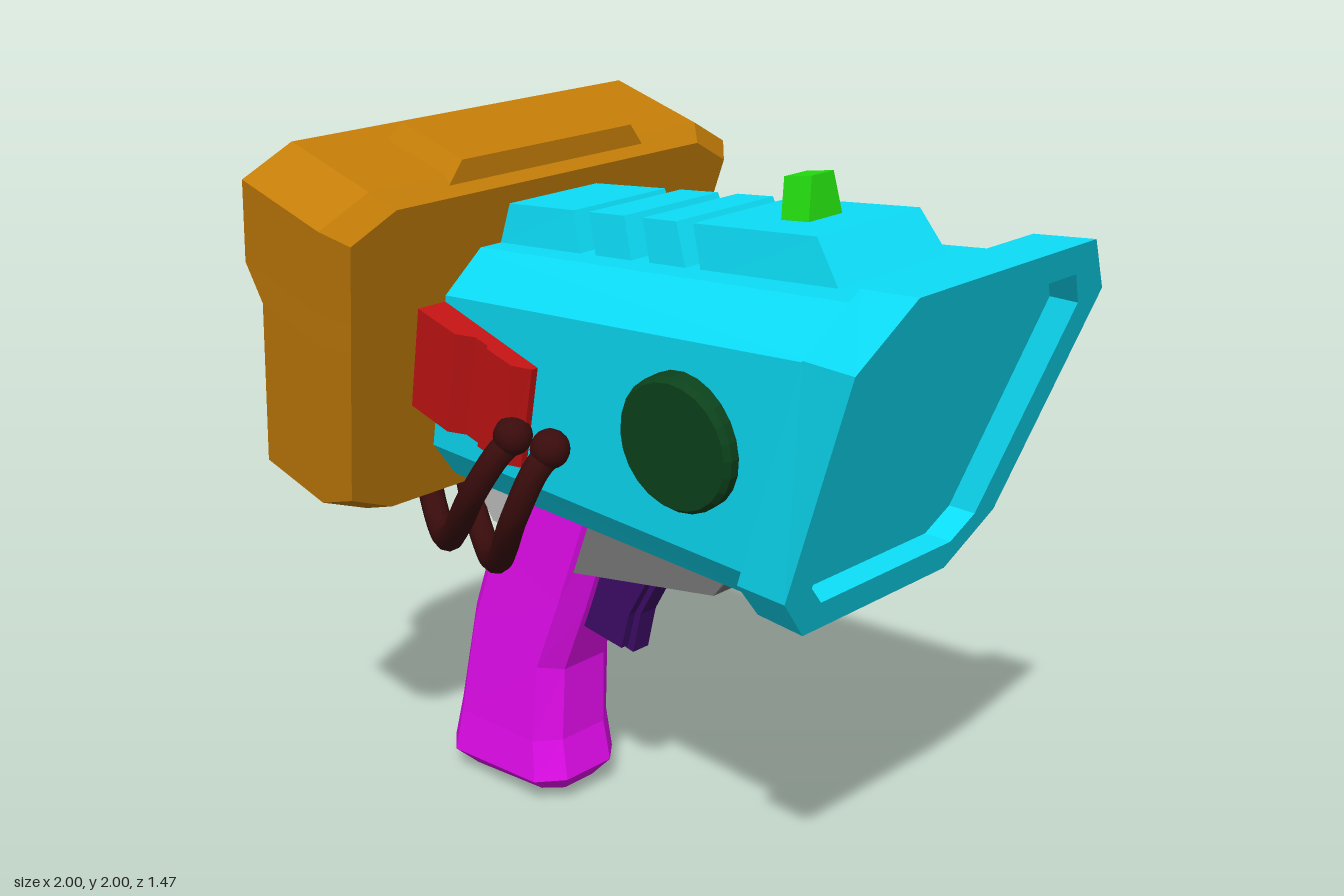
import * as THREE from 'three';

const V = (x, y, z) => new THREE.Vector3(x, y, z);

// Area normal of a closed loop of points
function loopNormal(ring) {
  const n = V(0, 0, 0);
  ring.forEach((p, i) => n.add(p.clone().cross(ring[(i + 1) % ring.length])));
  return n;
}

function centre(ring) {
  return ring.reduce((s, p) => s.add(p), V(0, 0, 0)).divideScalar(ring.length);
}

// Flat-faced skin over a series of equal-length loops, capped at both ends
function loft(rings) {
  const ahead = centre(rings[1]).sub(centre(rings[0]));
  if (loopNormal(rings[0]).dot(ahead) < 0) rings = rings.map(r => [...r].reverse());
  const pts = [];
  for (let i = 0; i + 1 < rings.length; i++) {
    const a = rings[i], b = rings[i + 1];
    a.forEach((p, j) => {
      const k = (j + 1) % a.length;
      pts.push(p, a[k], b[k], p, b[k], b[j]);
    });
  }
  const cap = (ring, sign) => {
    const n = loopNormal(ring).multiplyScalar(sign);
    const ax = Math.abs(n.x), ay = Math.abs(n.y), az = Math.abs(n.z);
    const flat = ring.map(p => az >= ax && az >= ay ? new THREE.Vector2(p.x, p.y)
      : ax >= ay ? new THREE.Vector2(p.y, p.z) : new THREE.Vector2(p.z, p.x));
    for (const f of THREE.ShapeUtils.triangulateShape(flat, [])) {
      const [a, b, c] = f.map(i => ring[i]);
      const facing = b.clone().sub(a).cross(c.clone().sub(a)).dot(n);
      pts.push(...(facing > 0 ? [a, b, c] : [a, c, b]));
    }
  };
  cap(rings[0], -1);
  cap(rings[rings.length - 1], 1);
  const g = new THREE.BufferGeometry().setFromPoints(pts);
  g.computeVertexNormals();
  return g;
}

// Side profile of [x, y, halfWidth] points spread symmetrically in z
const slab = (profile, half) => loft([-1, 1].map(s =>
  profile.map(([x, y, h = half]) => V(x, y, s * h))));

// Side profile between two z positions
const plate = (profile, z0, z1) => loft([z0, z1].map(z => profile.map(([x, y]) => V(x, y, z))));

// Symmetric loop from its +z half: [y, z] pairs, with x following y
const mirrorRing = (half, xOf) => [
  ...half.map(([y, z]) => V(xOf(y), y, z)),
  ...[...half].reverse().map(([y, z]) => V(xOf(y), y, -z))];

// Tilted frame of the rear housing: u runs up it, v runs forward through it
const tilt = (u, v, z) => V(0.26 * u + 0.966 * v, 0.966 * u - 0.26 * v, z);

export function createModel() {
  const group = new THREE.Group();
  const paint = (color, flatShading = true) => new THREE.MeshStandardMaterial({ color, flatShading });
  const cyan = paint(0x0ce0fa), orange = paint(0xc47d08), red = paint(0xc41414);
  const magenta = paint(0xe60cf0), grey = paint(0x777777), paleGrey = paint(0xbbbbbb);
  const purple = paint(0x3e0c68), brown = paint(0x3a0c0c, false);
  const add = (name, geometry, material) => {
    const m = new THREE.Mesh(geometry, material);
    m.name = name;
    group.add(m);
    return m;
  };

  // Main barrel, widening forward
  const nozzleBack = y => 0.51 + 0.365 * (y - 0.97);
  const nozzleFront = y => 0.66 + 0.374 * (y - 0.96);
  add('barrel', loft([
    mirrorRing([[1.0, 0.2], [1.12, 0.3], [1.57, 0.335], [1.685, 0.235]], y => (-1.0 + 0.26 * y) / 0.966),
    mirrorRing([[1.0, 0.26], [1.115, 0.365], [1.7, 0.415], [1.82, 0.305]], y => nozzleBack(y) + 0.02),
  ]), cyan);

  // Slanted nozzle collar with a recessed face
  const mouth = [[1.05, 0.255], [1.115, 0.32], [1.7, 0.38], [1.79, 0.31]];
  add('nozzle', loft([
    mirrorRing([[0.965, 0.27], [1.1, 0.402], [1.715, 0.45], [1.86, 0.325]], nozzleBack),
    mirrorRing([[0.96, 0.28], [1.1, 0.41], [1.72, 0.47], [1.875, 0.335]], nozzleFront),
    mirrorRing(mouth, nozzleFront),
    mirrorRing(mouth, y => nozzleFront(y) - 0.08),
  ]), cyan);

  // Raised blocks along the top, separated by narrow slots that all lean back
  const deck = x => 1.735 + 0.1 * x;
  const deckHalf = x => 0.183 + 0.03 * x;
  [[-0.62, -0.22, 0.043], [-0.165, -0.035, 0.048], [0.03, 0.148, 0.055], [0.205, 0.6, 0.1]].forEach(([a, b, slope], i) => {
    add('topBlock' + (i + 1), slab([
      [a + 0.045, deck(a) - 0.02, deckHalf(a) + 0.005], [b + slope, deck(b) - 0.02, deckHalf(b) + 0.008],
      [b, deck(b) + 0.113, deckHalf(b) - 0.01], [a, deck(a) + 0.113, deckHalf(a) - 0.01]]), cyan);
  });
  add('sight', slab([[0.385, 1.87, 0.067], [0.47, 1.87, 0.067], [0.455, 2.0, 0.04], [0.37, 1.985, 0.04]]), paint(0x25df10));

  // Rear housing with bevelled front, notched rim and recessed screen
  const outline = [[0.715, 0.46], [0.785, 0.62], [1.29, 0.69], [1.38, 0.702], [1.62, 0.735], [1.7, 0.59]];
  const housingRing = (insetU, insetZ, vOf) => {
    const side = s => outline.map(([u, z], i) =>
      tilt(1.22 + (u - 1.22) * (1 - insetU / 0.49), vOf(i), s * z * (1 - insetZ / 0.7)));
    return [...side(1), ...side(-1).reverse()];
  };
  const rim = i => (i < 3 ? -1.229 : -1.3);
  add('rearHousing', loft([
    housingRing(0.03, 0.052, () => -0.923), housingRing(0, 0, () => -0.985), housingRing(0, 0, rim),
    housingRing(0.085, 0.085, rim), housingRing(0.115, 0.115, () => -1.19),
  ]), orange);
  const lid = (u, v0, v1, z) => [tilt(u, v0, z), tilt(u, v1, z), tilt(u, v1, -z), tilt(u, v0, -z)];
  add('housingTopPad', loft([lid(1.68, -1.225, -0.955, 0.355), lid(1.745, -1.21, -0.97, 0.305)]), orange);

  // Knob on the housing's right side
  const knob = add('knob', new THREE.CylinderGeometry(0.08, 0.085, 0.12, 16), paint(0xdbd00c));
  knob.position.set(-0.83, 1.16, -0.628);
  knob.rotation.x = -Math.PI / 2 - 0.1;

  // Stepped blocks on both sides of the barrel, leaning in towards the bottom
  const step = [[-1, 0.27], [-1, 0.43], [-0.775, 0.43], [-0.738, 0.392], [-0.69, 0.392],
    [-0.68, 0.405], [-0.585, 0.405], [-0.545, 0.37], [-0.545, 0.27]];
  for (const s of [1, -1]) {
    add(s > 0 ? 'leftSideBlock' : 'rightSideBlock', loft([[1.065, 0.94], [1.366, 1]].map(([u, k]) =>
      step.map(([v, z]) => tilt(u, v, s * k * z)))), red);
  }

  // Round port on the left side
  const port = add('sidePort', new THREE.LatheGeometry(
    [[0.172, -0.08], [0.172, 0.035], [0.16, 0.05], [0, 0.05]].map(p => new THREE.Vector2(...p)), 24), paint(0x0c421c));
  port.position.set(0.37, 1.41, 0.382);
  port.rotation.set(Math.PI / 2 + 0.06, 0, -0.05);

  // Two hoses from the barrel side round to the bottom of the housing
  [
    [[-0.24, 1.27, 0.35], [-0.26, 1.23, 0.405], [-0.34, 1.1, 0.436], [-0.48, 0.945, 0.38], [-0.65, 0.84, 0.28], [-0.79, 0.87, 0.2], [-0.85, 1.0, 0.18]],
    [[-0.1, 1.27, 0.35], [-0.115, 1.23, 0.405], [-0.18, 1.08, 0.436], [-0.32, 0.91, 0.36], [-0.48, 0.81, 0.25], [-0.63, 0.782, 0.15], [-0.77, 0.84, 0.07], [-0.84, 1.0, 0.05]],
  ].forEach((path, i) => {
    const curve = new THREE.CatmullRomCurve3(path.map(p => V(...p)));
    add('hose' + (i + 1), new THREE.TubeGeometry(curve, 40, 0.037, 10), brown);
    add('hoseJoint' + (i + 1), new THREE.SphereGeometry(0.052, 14, 10), brown).position.set(path[0][0], 1.27, 0.38);
  });

  // Grip: octagonal sections [backX, backY, frontX, frontY, halfWidth], top to bottom
  const gripRing = ([bx, by, fx, fy, h]) => {
    const at = (t, z) => V(bx + (fx - bx) * t, by + (fy - by) * t, z);
    const side = [[0, 0.55], [0.17, 1], [0.87, 1], [1, 0.55]];
    return [...side.map(([t, k]) => at(t, k * h)), ...[...side].reverse().map(([t, k]) => at(t, -k * h))];
  };
  add('grip', loft([
    [-0.52, 1.06, -0.15, 1.06, 0.138], [-0.66, 0.82, -0.3, 0.66, 0.138], [-0.765, 0.53, -0.39, 0.44, 0.142],
    [-0.84, 0.2, -0.4, 0.21, 0.15], [-0.875, 0.06, -0.38, 0.085, 0.16], [-0.83, 0, -0.425, 0.03, 0.1],
    [-0.79, 0.003, -0.47, 0.027, 0.075], [-0.79, 0.02, -0.47, 0.042, 0.07],
  ].map(gripRing)), magenta);
  const button = add('gripButton', new THREE.CylinderGeometry(0.068, 0.085, 0.06, 16), paint(0x3412c4));
  button.position.set(-0.63, 0.262, -0.138);
  button.rotation.x = -Math.PI / 2;

  // Trigger housing: bridge, two cheeks and a rear wedge
  add('triggerBridge', slab([[-0.3, 1.03], [0.33, 1.03], [0.325, 1.0], [0.23, 0.88], [-0.3, 0.88]], 0.122), grey);
  const cheek = [[-0.35, 1.02], [0.32, 1.0], [0.23, 0.88], [-0.3, 0.785], [-0.37, 0.85]];
  add('leftCheek', plate(cheek, 0.065, 0.125), grey);
  add('rightCheek', plate(cheek, -0.125, -0.065), grey);
  add('rearWedge', slab([[-0.78, 1.03], [-0.5, 1.03], [-0.5, 0.84], [-0.64, 0.84]], 0.11), paleGrey);

  // Trigger with a raised centre rib
  add('trigger', slab([[-0.02, 0.9], [-0.08, 0.8], [-0.15, 0.68], [-0.18, 0.57],
    [-0.33, 0.59], [-0.28, 0.72], [-0.24, 0.9]], 0.056), purple);
  add('triggerRib', slab([[0.02, 0.9], [-0.05, 0.82], [-0.13, 0.68], [-0.16, 0.555],
    [-0.26, 0.575], [-0.22, 0.72], [-0.2, 0.9]], 0.03), purple);

  return group;
}
